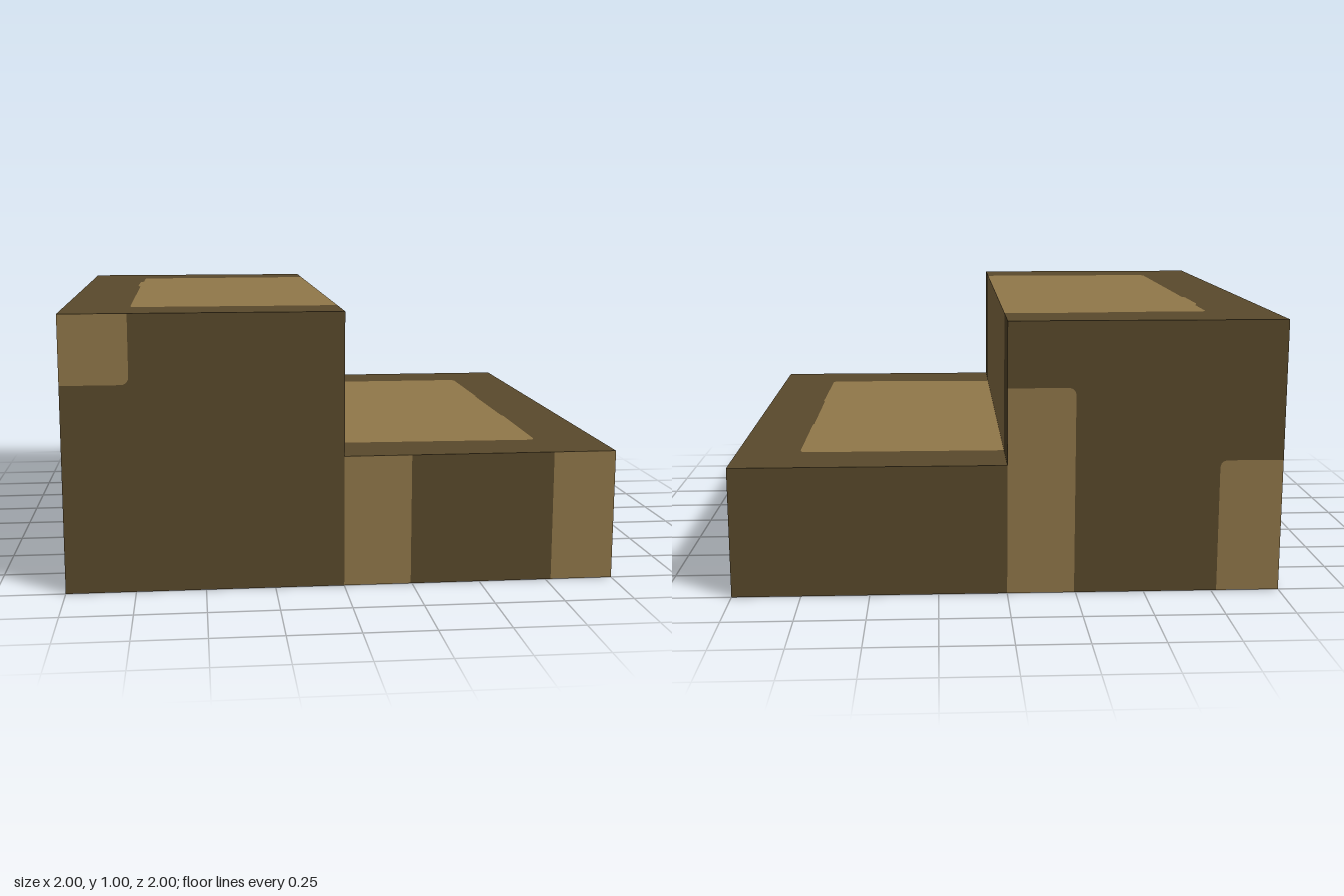
import * as THREE from 'three';

const material = (name, color) =>
  new THREE.MeshStandardMaterial({ name, color, side: THREE.DoubleSide });

// Closed outline from [u, v] points; a third value rounds that corner.
function outline(points) {
  const shape = new THREE.Shape();
  points.forEach(([u, v, r], i) => {
    const p = new THREE.Vector2(u, v);
    const draw = (q) => (i ? shape.lineTo(q.x, q.y) : shape.moveTo(q.x, q.y));
    if (!r) return draw(p);
    const toward = ([a, b]) => new THREE.Vector2(a, b).sub(p).setLength(r).add(p);
    const start = toward(points[(i + points.length - 1) % points.length]);
    const end = toward(points[(i + 1) % points.length]);
    draw(start);
    shape.quadraticCurveTo(u, v, end.x, end.y);
  });
  return shape;
}

const rect = (u0, v0, u1, v1) => [[u0, v0], [u1, v0], [u1, v1], [u0, v1]];

export function createModel() {
  const model = new THREE.Group();
  model.name = 'steppedBlock';
  const dark = material('darkBrown', 0x5a4a2c);
  const light = material('lightBrown', 0x92784a);
  const H = 0.48; // lower step height
  const R = 0.03; // corner rounding of the patches

  // A flat face, tiled by dark and light areas.
  function panel(name, position, rotation, darkAreas, lightAreas) {
    const group = new THREE.Group();
    group.name = name;
    for (const [label, areas, mat] of [['Border', darkAreas, dark], ['Patch', lightAreas, light]]) {
      const mesh = new THREE.Mesh(new THREE.ShapeGeometry(areas.map(outline), 5), mat);
      mesh.name = name + label;
      group.add(mesh);
    }
    group.position.set(...position);
    group.rotation.set(...rotation);
    model.add(group);
  }

  // Front wall
  panel('frontWall', [0, 0, 1], [0, 0, 0],
    [
      [[-1, 0], [0, 0], [0, 1], [-0.76, 1], [-0.76, 0.75, R], [-1, 0.75]],
      rect(0.245, 0, 0.77, H),
    ],
    [
      [[-1, 1], [-1, 0.75], [-0.76, 0.75, R], [-0.76, 1]],
      rect(0, 0, 0.245, H),
      rect(0.77, 0, 1, H),
    ]);

  // Low side wall
  panel('lowSideWall', [1, 0, 0], [0, Math.PI / 2, 0],
    [rect(-1, 0, 0, H), rect(0.245, 0, 0.77, H)],
    [rect(0, 0, 0.245, H), rect(0.77, 0, 1, H)]);

  // Back wall
  panel('backWall', [0, 0, -1], [0, Math.PI, 0],
    [
      rect(-1, 0, 0, H),
      [[0, 1], [0, 0.76], [0.245, 0.76, R], [0.245, 0], [0.77, 0], [0.77, 0.49, R], [1, 0.49], [1, 1]],
    ],
    [
      [[0, 0], [0.245, 0], [0.245, 0.76, R], [0, 0.76]],
      [[0.77, 0], [1, 0], [1, 0.49], [0.77, 0.49, R]],
    ]);

  // Tall side wall
  panel('tallSideWall', [-1, 0, 0], [0, -Math.PI / 2, 0],
    [[
      [-1, 0], [-0.01, 0], [-0.01, 0.76, 0.05], [0.245, 0.76, R], [0.245, 0], [0.78, 0],
      [0.78, 0.49, R], [1, 0.49], [1, 1], [-0.76, 1], [-0.76, 0.75, R], [-1, 0.75],
    ]],
    [
      [[-1, 1], [-1, 0.75], [-0.76, 0.75, R], [-0.76, 1]],
      [[-0.01, 0], [0.245, 0], [0.245, 0.76, R], [-0.01, 0.76, 0.05]],
      [[0.78, 0], [1, 0], [1, 0.49], [0.78, 0.49, R]],
    ]);

  // Riser between the steps
  panel('riser', [0, 0, 0], [0, Math.PI / 2, 0],
    [rect(-1, H, -0.75, 1), rect(0.77, H, 1, 1)],
    [rect(-0.75, H, 0.77, 1)]);

  // Treads, each with a worn patch that runs up to the riser
  const upperEdge = [
    [0, -0.755], [-0.25, -0.76], [-0.76, -0.76, R], [-0.76, 0.24], [-0.77, 0.26],
    [-0.77, 0.49], [-0.755, 0.54], [-0.755, 0.75, R], [-0.53, 0.75], [-0.5, 0.76],
    [-0.28, 0.76], [-0.23, 0.77], [0, 0.77],
  ];
  const lowerEdge = [
    [0, -0.755], [0.25, -0.76], [0.76, -0.77, R], [0.765, -0.26], [0.76, -0.24],
    [0.76, 0.24], [0.765, 0.26], [0.765, 0.76, R], [0, 0.76],
  ];
  for (const [name, y, side, edge] of [['upperTread', 1, -1, upperEdge], ['lowerTread', H, 1, lowerEdge]]) {
    panel(name, [0, y, 0], [-Math.PI / 2, 0, 0],
      [[...edge, [0, 1], [side, 1], [side, -1], [0, -1]]],
      [edge]);
  }
  return model;
}
